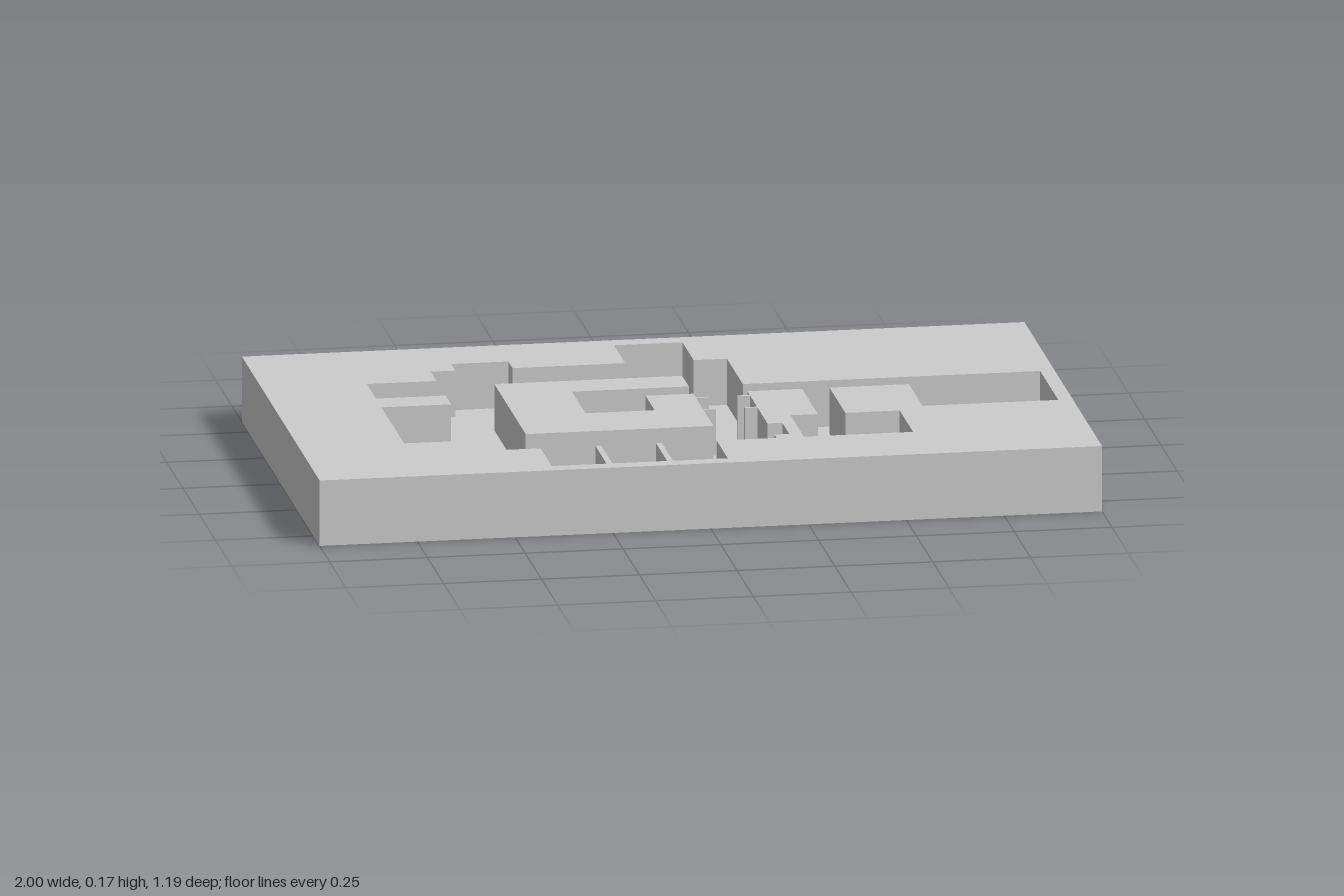
import * as THREE from 'three';

const HEIGHT = 0.171, FLOOR = 0.05, DEPTH = 1.194;

// Rectilinear plan outline of [x, z] corners, laid out so +z becomes -y before rotation
const plan = (pts) => pts.map(([x, z]) => new THREE.Vector2(x, -z));

// Outer edge of the sunken rooms and corridors, clockwise from the back right of the main hall
const ROOMS = [
  [0.203, -0.377], [0.203, -0.132],
  // corridor and rooms on the left wing
  [0.963, -0.132], [0.963, 0.146], [0.616, 0.146], [0.616, -0.063], [0.413, -0.063], [0.413, 0.18],
  [0.552, 0.18], [0.552, 0.386], [0.273, 0.386], [0.273, 0.18], [0.343, 0.18], [0.343, -0.063],
  // hall side with a small alcove
  [0.203, -0.063], [0.203, 0.247], [0.241, 0.247], [0.241, 0.354], [0.203, 0.354], [0.203, 0.386],
  // three cells along the front
  [0.05, 0.386], [0.05, 0.557], [-0.09, 0.557], [-0.09, 0.386],
  [-0.105, 0.386], [-0.105, 0.557], [-0.245, 0.557], [-0.245, 0.386],
  [-0.26, 0.386], [-0.26, 0.557], [-0.4, 0.557], [-0.4, 0.386],
  // two rooms on the right wing
  [-0.554, 0.386], [-0.554, 0.284], [-0.732, 0.284], [-0.732, -0.063],
  [-0.554, -0.063], [-0.554, -0.148], [-0.732, -0.148], [-0.732, -0.288],
  // alcoves at the back
  [-0.554, -0.288], [-0.554, -0.377], [-0.491, -0.377], [-0.491, -0.441],
  [-0.345, -0.441], [-0.345, -0.377], [-0.057, -0.377], [-0.057, -0.549], [0.118, -0.549], [0.118, -0.377],
];

// Central block, open on one side to an inner chamber
const BLOCK = [
  [-0.415, -0.235], [0.065, -0.235], [0.065, -0.132], [-0.234, -0.132], [-0.234, 0.076],
  [-0.057, 0.076], [-0.057, -0.063], [0.065, -0.063], [0.065, 0.247], [-0.415, 0.247],
];

export function createModel() {
  const model = new THREE.Group();
  const material = new THREE.MeshStandardMaterial({ color: 0xcccccc, flatShading: true });
  const add = (name, geometry) => {
    const mesh = new THREE.Mesh(geometry, material);
    mesh.name = name;
    model.add(mesh);
    return mesh;
  };
  // Raise a plan shape from the floor level to the top
  const raise = (shape) => new THREE.ExtrudeGeometry(shape, { depth: HEIGHT - FLOOR, bevelEnabled: false })
    .rotateX(-Math.PI / 2).translate(0, FLOOR, 0);

  add('floorSlab', new THREE.BoxGeometry(2, FLOOR, DEPTH).translate(0, FLOOR / 2, 0));

  // Solid ground around the rooms; the outline runs counter-clockwise so the room walls face inward
  const h = DEPTH / 2;
  const ground = new THREE.Shape(plan([[-1, h], [1, h], [1, -h], [-1, -h]]));
  ground.holes.push(new THREE.Path(plan(ROOMS)));
  add('surroundingWalls', raise(ground));

  add('centralBlock', raise(new THREE.Shape(plan(BLOCK))));

  // Thin door jambs facing each other across the narrow passage
  for (const z of [-0.024, 0.089]) {
    for (const x of [0.081, 0.187]) {
      add('doorJamb', new THREE.BoxGeometry(0.033, HEIGHT - FLOOR, 0.008))
        .position.set(x, (HEIGHT + FLOOR) / 2, z);
    }
  }
  return model;
}
